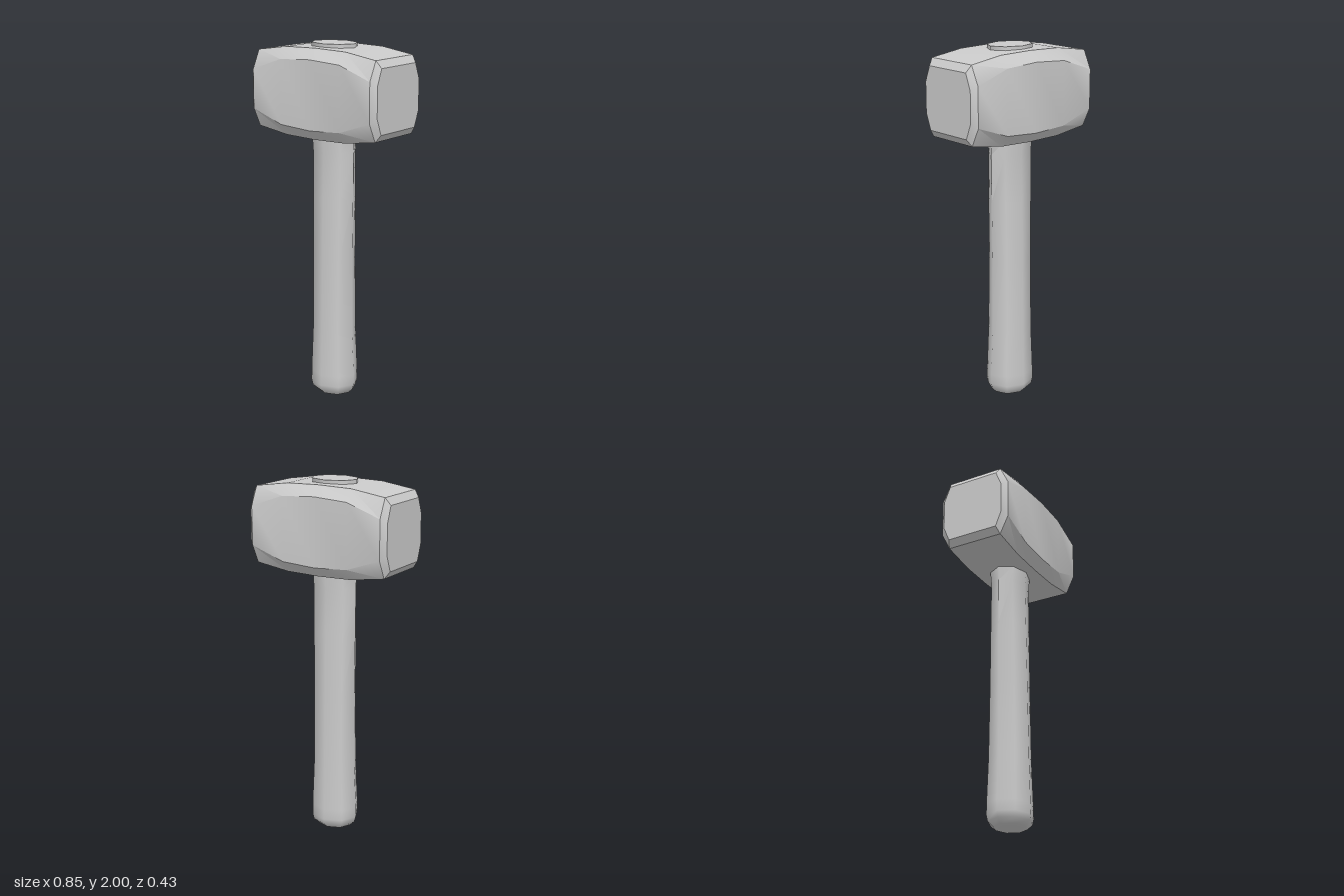
import * as THREE from 'three';
import { toCreasedNormals } from 'three/addons/utils/BufferGeometryUtils.js';

// Skin a stack of rings (counter-clockwise seen from the far end) and close both ends
function loft(rings, crease) {
  const n = rings[0].length;
  const points = rings.flat();
  const index = [];
  for (let i = 0; i < rings.length - 1; i++) {
    for (let j = 0; j < n; j++) {
      const k = (j + 1) % n;
      const a = i * n + j, b = i * n + k, c = b + n, d = a + n;
      index.push(a, b, c, a, c, d);
    }
  }
  const last = (rings.length - 1) * n;
  for (let j = 1; j < n - 1; j++) {
    index.push(0, j + 1, j);
    index.push(last, last + j, last + j + 1);
  }
  const geometry = new THREE.BufferGeometry().setFromPoints(points);
  geometry.setIndex(index);
  return toCreasedNormals(geometry, crease);
}

export function createModel() {
  const group = new THREE.Group();
  const material = new THREE.MeshStandardMaterial({ color: 0xcccccc });
  const add = (name, geometry) => {
    const mesh = new THREE.Mesh(geometry, material);
    mesh.name = name;
    group.add(mesh);
  };

  // Head: chamfered sections along x, taller in the middle
  // [x, half height of top, half depth of top, half height of side, half depth of side]
  const half = [
    [0, 0.245, 0.163, 0.189, 0.213],
    [0.2, 0.24, 0.163, 0.177, 0.213],
    [0.397, 0.211, 0.163, 0.108, 0.213],
    [0.425, 0.172, 0.15, 0.085, 0.185],
  ];
  const mirrored = half.slice(1).reverse().map(([x, ...rest]) => [-x, ...rest]);
  const headRings = [...mirrored, ...half].map(([x, topY, topZ, sideY, sideZ]) =>
    [
      [topY, topZ], [sideY, sideZ], [-sideY, sideZ], [-topY, topZ],
      [-topY, -topZ], [-sideY, -sideZ], [sideY, -sideZ], [topY, -topZ],
    ].map(([y, z]) => new THREE.Vector3(x, 1.737 + y, z)));
  add('head', loft(headRings, 0.54));

  // Handle: eight-sided oval shaft running through the head, flared at the grip end
  // [y, half width, half depth]
  const profile = [
    [0, 0.1, 0.088],
    [0.027, 0.13, 0.118],
    [0.06, 0.139, 0.124],
    [0.12, 0.14, 0.122],
    [0.38, 0.127, 0.115],
    [0.8, 0.125, 0.108],
    [1.15, 0.13, 0.102],
    [1.41, 0.133, 0.097],
    [1.5, 0.135, 0.107],
    [2, 0.136, 0.107],
  ];
  const handleRings = profile.map(([y, w, d]) =>
    Array.from({ length: 8 }, (_, i) => {
      const a = (i * Math.PI) / 4;
      return new THREE.Vector3(w * Math.cos(a), y, -d * Math.sin(a));
    }));
  add('handle', loft(handleRings, 1.0));

  return group;
}
